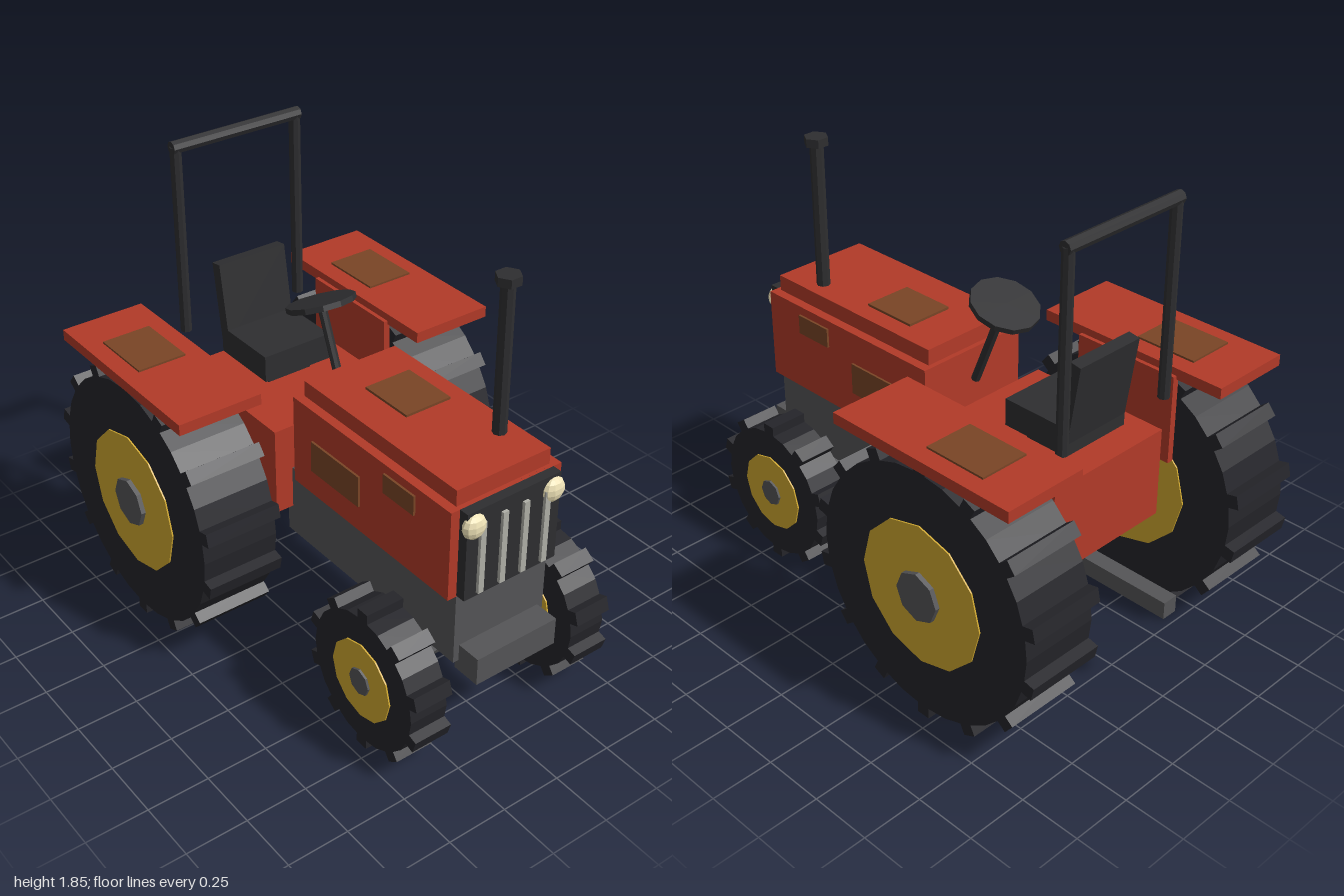
import * as THREE from 'three';

const mat = (color) => new THREE.MeshStandardMaterial({ color, flatShading: true });

export function createModel() {
  const red = mat(0xb23a28), brown = mat(0x7a4526), dark = mat(0x2e2e30), rubber = mat(0x25252a);
  const grey = mat(0x555557), yellow = mat(0xd0a830), cream = mat(0xf0e4b8), silver = mat(0xb0b0a8);
  const model = new THREE.Group();
  model.name = 'tractor';

  const add = (name, geometry, material, x, y, z, parent = model) => {
    const mesh = new THREE.Mesh(geometry, material);
    mesh.name = name;
    mesh.position.set(x, y, z);
    parent.add(mesh);
    return mesh;
  };
  // box given by its limits on each axis
  const box = (name, material, [x0, x1], [y0, y1], [z0, z1]) =>
    add(name, new THREE.BoxGeometry(x1 - x0, y1 - y0, z1 - z0), material,
      (x0 + x1) / 2, (y0 + y1) / 2, (z0 + z1) / 2);
  // the same box on both sides of the model
  const boxPair = (name, material, [x0, x1], ys, zs) => {
    box(name, material, [x0, x1], ys, zs);
    box(name, material, [-x1, -x0], ys, zs);
  };
  // cylinder lying along x
  const rod = (name, r, length, sides, material, x, y, z, parent) => {
    const g = new THREE.CylinderGeometry(r, r, length, sides).rotateZ(Math.PI / 2);
    return add(name, g, material, x, y, z, parent);
  };

  // chassis, hood and rear body
  box('chassis', grey, [-0.21, 0.21], [0.41, 0.71], [-0.1, 0.9]);
  box('frontWeight', grey, [-0.185, 0.185], [0.365, 0.48], [0.88, 1]);
  box('drawbar', grey, [-0.033, 0.033], [0.38, 0.45], [-1, -0.55]);
  box('hood', red, [-0.248, 0.248], [0.71, 1.08], [0, 0.9]);
  box('hoodCap', red, [-0.21, 0.21], [1.08, 1.145], [0.02, 0.88]);
  box('hoodPanel', brown, [-0.067, 0.135], [1.14, 1.155], [0.2, 0.435]);
  box('rearBody', red, [-0.287, 0.287], [0.53, 0.9], [-0.69, -0.07]);
  boxPair('frontVent', brown, [0.24, 0.257], [0.965, 1.045], [0.545, 0.715]);
  boxPair('rearVent', brown, [0.24, 0.257], [0.82, 0.95], [0.12, 0.405]);

  // grille, slats and headlamps
  box('grille', dark, [-0.21, 0.21], [0.715, 1.08], [0.89, 0.94]);
  for (const x of [-0.145, -0.048, 0.048, 0.145])
    box('grilleSlat', silver, [x - 0.012, x + 0.012], [0.73, 1.03], [0.93, 0.953]);
  for (const side of [-1, 1])
    add('headlamp', new THREE.SphereGeometry(0.05, 10, 7).scale(1, 1, 0.6), cream, side * 0.178, 1.02, 0.938);

  // exhaust stack
  add('exhaustPipe', new THREE.CylinderGeometry(0.027, 0.027, 0.65, 8), dark, 0.135, 1.415, 0.7);
  add('exhaustCap', new THREE.CylinderGeometry(0.048, 0.048, 0.034, 6).rotateY(Math.PI / 6), dark,
    0.135, 1.748, 0.7);

  // fenders
  boxPair('fender', red, [0.365, 0.715], [1.075, 1.12], [-0.88, -0.035]);
  boxPair('fenderSide', red, [0.348, 0.376], [0.72, 1.09], [-0.68, -0.22]);
  boxPair('fenderPanel', brown, [0.44, 0.643], [1.115, 1.128], [-0.695, -0.43]);

  // seat
  box('seatPedestal', dark, [-0.1, 0.1], [0.89, 0.96], [-0.55, -0.38]);
  box('seatCushion', dark, [-0.153, 0.153], [0.95, 1.06], [-0.62, -0.32]);
  const back = box('seatBack', dark, [-0.153, 0.153], [1.0, 1.33], [-0.645, -0.595]);
  back.rotation.x = -0.15;

  // steering column and wheel share one tilt
  const steering = new THREE.Group();
  steering.name = 'steering';
  steering.position.set(0, 1.32, -0.163);
  steering.rotation.x = -0.385;
  model.add(steering);
  add('steeringColumn', new THREE.CylinderGeometry(0.018, 0.018, 0.39, 8), dark, 0, -0.2, 0, steering);
  add('steeringWheel', new THREE.CylinderGeometry(0.135, 0.135, 0.022, 12), dark, 0, 0, 0, steering);

  // roll bar
  for (const side of [-1, 1])
    add('rollBarPost', new THREE.CylinderGeometry(0.023, 0.023, 0.78, 8), dark, side * 0.27, 1.44, -0.7);
  rod('rollBarTop', 0.026, 0.575, 8, dark, 0, 1.828, -0.7);

  // axles
  rod('rearAxle', 0.042, 1.3, 8, grey, 0, 0.55, -0.455);
  rod('frontAxle', 0.036, 0.8, 8, grey, 0, 0.315, 0.695);

  // wheels: tire, rim, hub and a ring of tread lugs
  const wheel = (name, x, y, z, o) => {
    const g = new THREE.Group();
    g.name = name;
    g.position.set(x, y, z);
    model.add(g);
    rod('tire', o.tire, o.width, o.lugs * 2, rubber, 0, 0, 0, g);
    rod('rim', o.rim, o.width + 0.012, 12, yellow, 0, 0, 0, g);
    rod('hub', o.hub, o.hubWidth, 8, grey, 0, 0, 0, g);
    for (let i = 0; i < o.lugs; i++) {
      const a = (i / o.lugs) * Math.PI * 2, r = (o.tip + o.tire) / 2 - 0.015;
      const lug = add('treadLug', new THREE.BoxGeometry(o.width, o.tip - o.tire + 0.03, 0.056), rubber,
        0, -Math.cos(a) * r, -Math.sin(a) * r, g);
      lug.rotation.x = a;
    }
  };
  const rear = { tire: 0.508, tip: 0.55, width: 0.32, rim: 0.293, hub: 0.1, hubWidth: 0.37, lugs: 14 };
  const front = { tire: 0.28, tip: 0.315, width: 0.16, rim: 0.165, hub: 0.055, hubWidth: 0.19, lugs: 10 };
  for (const side of [-1, 1]) {
    wheel('rearWheel', side * 0.54, 0.55, -0.45, rear);
    wheel('frontWheel', side * 0.378, 0.315, 0.695, front);
  }
  return model;
}
